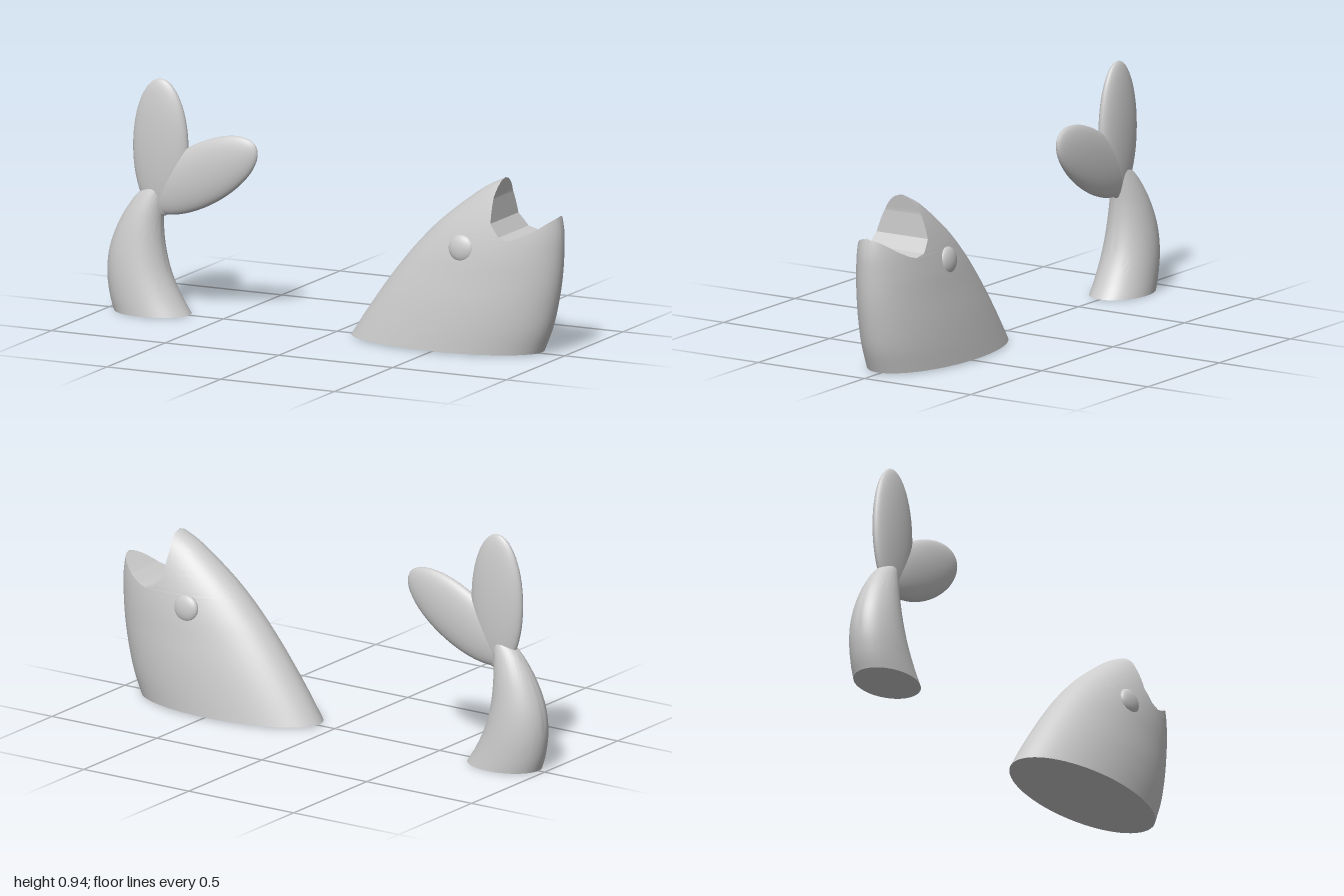
import * as THREE from 'three';
import { toCreasedNormals, mergeGeometries } from 'three/addons/utils/BufferGeometryUtils.js';

const material = new THREE.MeshStandardMaterial({ color: 0xcccccc });

// smooth or straight curve through values given at heights
function curve(heights, values, Type = THREE.CubicInterpolant) {
  const f = new Type(heights, values, 1, [0]);
  return (y) => f.evaluate(THREE.MathUtils.clamp(y, heights[0], heights[heights.length - 1]))[0];
}

// Stack of elliptical slices from y0 to y1. "cut" slices off the side beyond x = cut(y);
// keep = -1 keeps the part at smaller x, keep = 1 the part at larger x.
function loft({ left, right, depth }, y0, y1, { rows = 24, cut = null, keep = 0, base = false, extra = [] } = {}) {
  const N = 64, pos = [], index = [];
  const ys = Array.from({ length: rows + 1 }, (_, i) => y0 + (y1 - y0) * i / rows);
  ys.push(...extra.filter((y) => y > y0 && y < y1));
  ys.sort((a, b) => a - b);
  for (const y of ys) {
    const c = (left(y) + right(y)) / 2, h = (right(y) - left(y)) / 2;
    let from = 0, to = 2 * Math.PI;
    if (cut) {
      const t = Math.acos(THREE.MathUtils.clamp((cut(y) - c) / h, -1, 1));
      [from, to] = keep < 0 ? [t, 2 * Math.PI - t] : [-t, t];
    }
    for (let i = 0; i < N; i++) {
      const a = from + (to - from) * i / (cut ? N - 1 : N);
      pos.push(c + h * Math.cos(a), y, -depth(y) * Math.sin(a));
    }
  }
  for (let r = 0; r < ys.length - 1; r++) {
    for (let i = 0; i < N; i++) {
      const a = r * N + i, b = r * N + (i + 1) % N;
      index.push(a, b, b + N, a, b + N, a + N);
    }
  }
  const last = (ys.length - 1) * N;
  for (let i = 1; i < N - 1; i++) {
    if (base) index.push(0, i + 1, i);
    index.push(last, last + i, last + i + 1);
  }
  const g = new THREE.BufferGeometry();
  g.setAttribute('position', new THREE.Float32BufferAttribute(pos, 3));
  g.setIndex(index);
  return g;
}

function add(parent, name, geometry) {
  const mesh = new THREE.Mesh(geometry, material);
  mesh.name = name;
  parent.add(mesh);
  return mesh;
}

function ellipsoid(parent, name, [x, y, z], [rx, ry, rz], tilt = 0) {
  const mesh = add(parent, name, new THREE.SphereGeometry(1, 40, 28));
  mesh.position.set(x, y, z);
  mesh.scale.set(rx, ry, rz);
  mesh.rotation.z = tilt;
  return mesh;
}

function createHead() {
  const head = new THREE.Group();
  head.name = 'head';
  const ys = [0, 0.1, 0.2, 0.3, 0.4, 0.5, 0.6, 0.65, 0.69];
  const body = {
    left: curve(ys, [0.07, 0.135, 0.205, 0.28, 0.365, 0.465, 0.59, 0.662, 0.74]),
    right: curve(ys, [0.9, 0.94, 0.965, 0.982, 0.99, 0.99, 0.97, 0.952, 0.93]),
    depth: curve(ys, [0.185, 0.18, 0.172, 0.16, 0.147, 0.127, 0.097, 0.075, 0.05]),
  };
  // mouth opening: back wall above, sloping floor below
  const corner = 0.465, backYs = [corner, 0.475, 0.525, 0.62, 0.69], floorYs = [corner, 0.475, 0.5, 0.557];
  const back = curve(backYs, [0.82, 0.775, 0.735, 0.73, 0.74], THREE.LinearInterpolant);
  const floor = curve(floorYs, [0.82, 0.855, 0.905, 0.984], THREE.LinearInterpolant);
  const crease = (g) => toCreasedNormals(g, 0.5);
  add(head, 'headBody', mergeGeometries([
    crease(loft(body, 0.005, corner, { base: true })),
    crease(loft(body, corner, 0.69, { cut: back, keep: -1, extra: backYs })),
    crease(loft(body, corner, 0.557, { cut: floor, keep: 1, extra: floorYs })),
  ]));
  for (const side of [1, -1]) {
    const eye = ellipsoid(head, side > 0 ? 'frontEye' : 'backEye', [0.615, 0.418, side * 0.134], [0.055, 0.054, 0.023]);
    eye.rotation.x = -side * 0.08;
  }
  return head;
}

function createTail() {
  const tail = new THREE.Group();
  tail.name = 'tail';
  const ys = [0, 0.05, 0.15, 0.25, 0.35, 0.42, 0.48, 0.54];
  const stem = {
    left: curve(ys, [-0.97, -0.986, -1, -0.99, -0.953, -0.912, -0.862, -0.765]),
    right: curve(ys, [-0.65, -0.683, -0.733, -0.76, -0.769, -0.766, -0.76, -0.755]),
    depth: curve(ys, [0.115, 0.112, 0.105, 0.093, 0.075, 0.058, 0.038, 0.01]),
  };
  add(tail, 'tailStem', toCreasedNormals(loft(stem, 0, 0.54, { base: true }), 0.7));
  // two flat oval flukes
  ellipsoid(tail, 'uprightFluke', [-0.775, 0.66, 0], [0.12, 0.275, 0.041]);
  ellipsoid(tail, 'leaningFluke', [-0.595, 0.566, 0], [0.275, 0.12, 0.041], Math.PI / 6);
  return tail;
}

export function createModel() {
  const model = new THREE.Group();
  model.name = 'surfacingFish';
  model.add(createHead(), createTail());
  return model;
}
